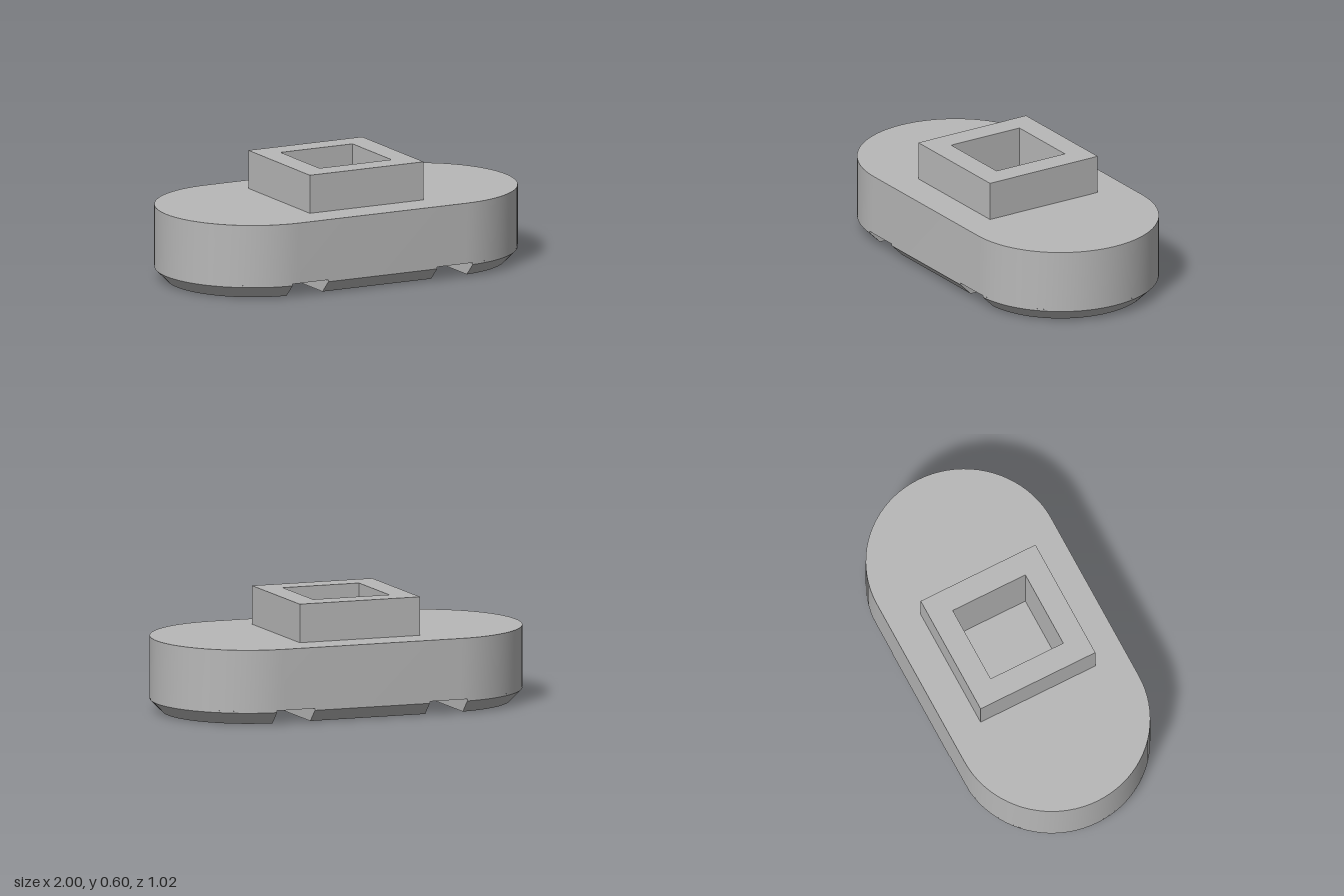
import * as THREE from 'three';
import { toCreasedNormals } from 'three/addons/utils/BufferGeometryUtils.js';

const R = 0.51, CX = 0.49;           // end radius and end centre of the base plate
const TOP = 0.395, GROOVE = 0.075;   // deck height and groove depth
const G0 = 0.32, G1 = 0.53;          // groove limits along x
const SEG = 40;

// Skin convex rings of [x, z] points, each at its own height, with optional end caps.
function loft(rings, capStart, capEnd) {
  const pos = [];
  const put = ([p, y]) => pos.push(p[0], y, p[1]);
  const tri = (a, b, c) => [a, b, c].forEach(put);
  const n = rings[0].pts.length;
  const at = (k, i) => [rings[k].pts[i % n], rings[k].y];
  for (let k = 0; k < rings.length - 1; k++) {
    for (let i = 0; i < n; i++) {
      tri(at(k, i), at(k + 1, i), at(k, i + 1));
      tri(at(k, i + 1), at(k + 1, i), at(k + 1, i + 1));
    }
  }
  const last = rings.length - 1;
  for (let i = 1; i < n - 1; i++) {
    if (capStart) tri(at(0, 0), at(0, i), at(0, i + 1));
    if (capEnd) tri(at(last, 0), at(last, i + 1), at(last, i));
  }
  const g = new THREE.BufferGeometry();
  g.setAttribute('position', new THREE.Float32BufferAttribute(pos, 3));
  return toCreasedNormals(g, 0.5);
}

function arc(cx, r, from, to) {
  const pts = [];
  for (let i = 0; i <= SEG; i++) {
    const a = from + (to - from) * i / SEG;
    pts.push([cx + r * Math.cos(a), r * Math.sin(a)]);
  }
  return pts;
}

const rect = (x, z) => [[x, -z], [x, z], [-x, z], [-x, -z]];

const stadium = [
  ...arc(CX, R, -Math.PI / 2, Math.PI / 2),
  ...arc(-CX, R, Math.PI / 2, Math.PI * 1.5),
];

// Round end of the plate, cut off flat by the groove
function endOutline(r) {
  const a = Math.acos((G1 - CX) / r);
  return arc(CX, r, -a, a);
}

// Chamfered rings from the ground up to the groove ceiling
const footRings = (outline) =>
  [[0, R - 0.065], [0.065, R], [GROOVE, R]].map(([y, r]) => ({ y, pts: outline(r) }));

export function createModel() {
  const group = new THREE.Group();
  const grey = new THREE.MeshStandardMaterial({ color: 0xb8b8b8 });
  grey.name = 'grey';

  const add = (name, geometry) => {
    const mesh = new THREE.Mesh(geometry, grey);
    mesh.name = name;
    group.add(mesh);
    return mesh;
  };

  // Side wall and groove ceiling
  add('basePlate', loft([{ y: GROOVE, pts: stadium }, { y: TOP, pts: stadium }], true, false));

  // Deck, open where the collar stands
  const deck = new THREE.Shape(stadium.map(([x, z]) => new THREE.Vector2(x, -z)));
  deck.holes.push(new THREE.Path(rect(0.335, 0.335).map(([x, z]) => new THREE.Vector2(x, z))));
  add('deck', new THREE.ShapeGeometry(deck).rotateX(-Math.PI / 2).translate(0, TOP, 0));

  // Square collar with a blind pocket
  const outer = rect(0.335, 0.335), inner = rect(0.212, 0.212);
  add('socketCollar', loft([
    { y: TOP, pts: outer }, { y: 0.597, pts: outer },
    { y: 0.597, pts: inner }, { y: 0.2, pts: inner },
  ], false, true));

  // Three chamfered feet separated by two cross grooves
  add('middleFoot', loft(footRings((r) => rect(G0, r)), true, false));
  const endFoot = loft(footRings(endOutline), true, false);
  add('leftFoot', endFoot);
  add('rightFoot', endFoot).rotation.y = Math.PI;

  return group;
}
